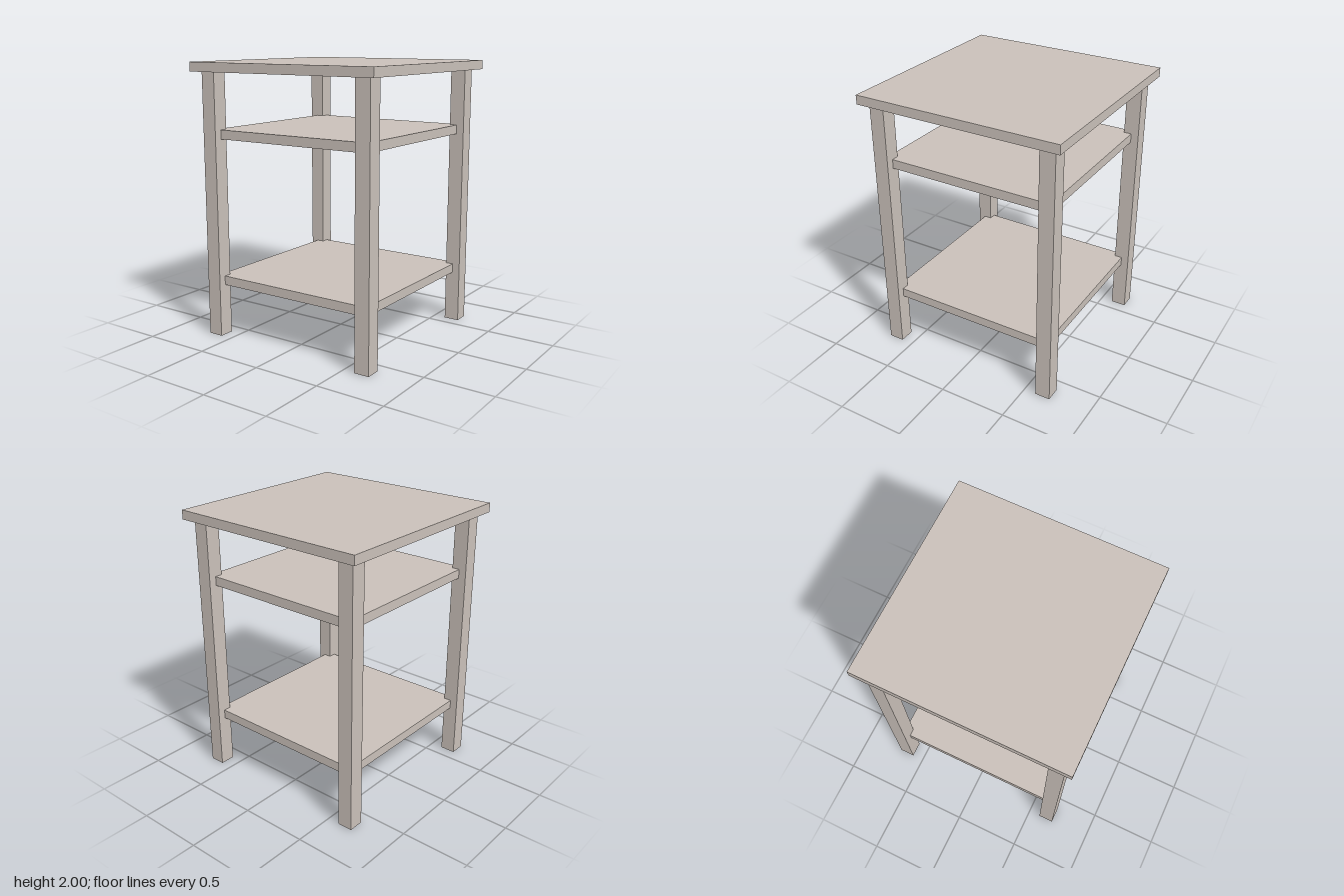
import * as THREE from 'three';

export function createModel() {
  const table = new THREE.Group();
  table.name = 'sideTable';
  const wood = new THREE.MeshStandardMaterial({ color: 0xc9c0b9 });
  wood.name = 'paleWood';

  // Box named after its part, placed by the height of its underside
  const addBox = (name, width, height, x, bottom, z) => {
    const mesh = new THREE.Mesh(new THREE.BoxGeometry(width, height, width), wood);
    mesh.name = name;
    mesh.position.set(x, bottom + height / 2, z);
    table.add(mesh);
  };

  const thickness = 0.067;
  const topBottom = 2 - thickness;
  const legCentre = 0.645;

  // Overhanging top
  addBox('tableTop', 1.518, thickness, 0, topBottom, 0);

  // Two shelves, with corners let into the middle of each leg
  addBox('upperShelf', legCentre * 2, thickness, 0, 1.457, 0);
  addBox('lowerShelf', legCentre * 2, thickness, 0, 0.38, 0);

  // Four square legs
  for (const [side, x] of [['Left', 1], ['Right', -1]]) {
    for (const [end, z] of [['front', 1], ['back', -1]]) {
      addBox(`${end}${side}Leg`, 0.112, topBottom, x * legCentre, 0, z * legCentre);
    }
  }

  return table;
}
